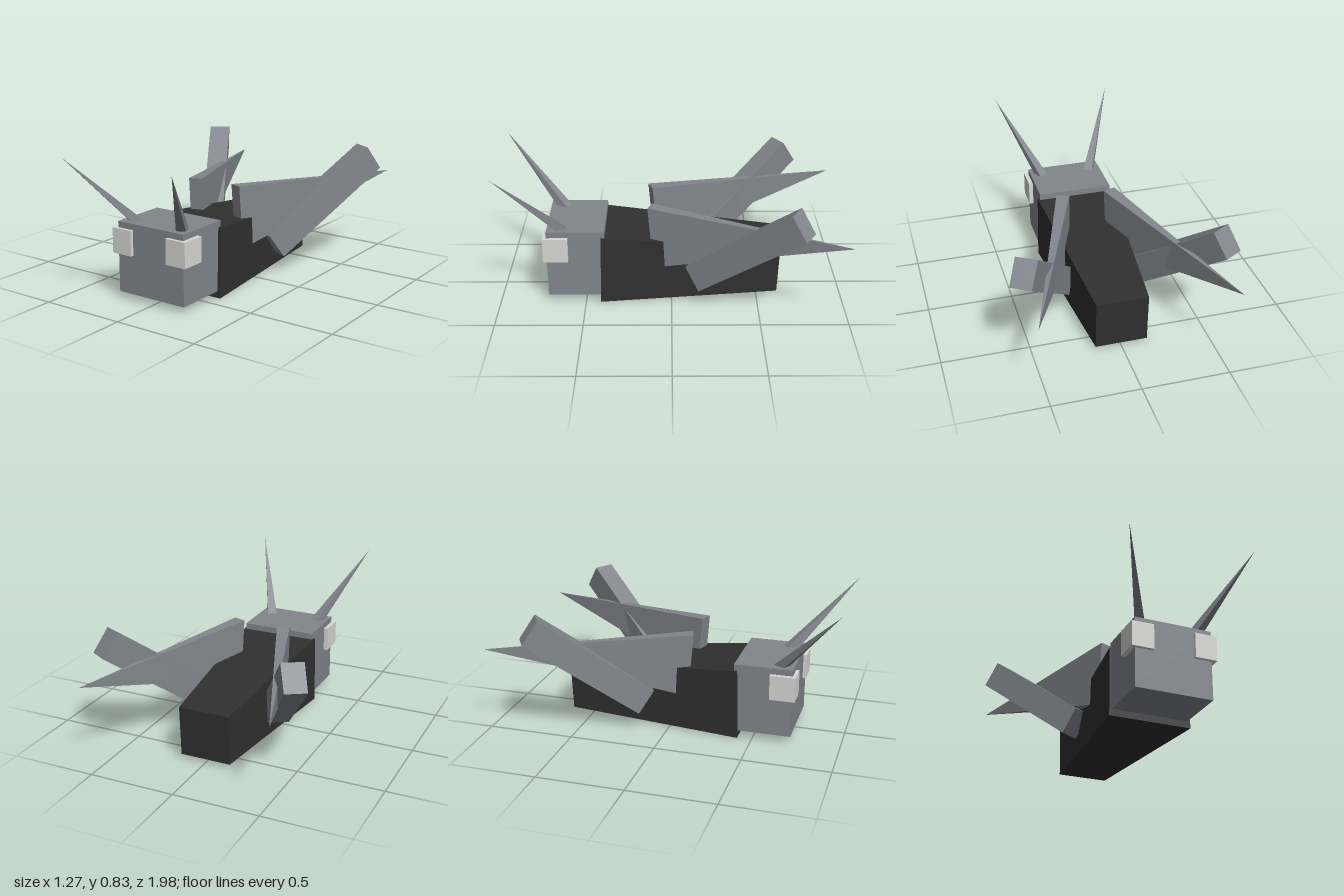
import * as THREE from 'three';
import { ConvexGeometry } from 'three/addons/geometries/ConvexGeometry.js';

const material = (name, color) => new THREE.MeshStandardMaterial({ name, color });

// Solid block, wedge or spike spanned by its corner points
function solid(name, corners, mat, side = 1) {
  const points = corners.map(([x, y, z]) => new THREE.Vector3(x * side, y, z));
  const mesh = new THREE.Mesh(new ConvexGeometry(points), mat);
  mesh.name = name;
  return mesh;
}

function box(name, size, position, mat) {
  const mesh = new THREE.Mesh(new THREE.BoxGeometry(...size), mat);
  mesh.position.set(...position);
  mesh.name = name;
  return mesh;
}

export function createModel() {
  const grey = material('shell grey', 0x82868c);
  const dark = material('body charcoal', 0x303030);
  const pale = material('eye pale grey', 0xd8d8d6);
  const model = new THREE.Group();
  model.name = 'insect';

  // Body tapering towards the tail
  const bodyCorners = [-1, 1].flatMap((s) => [
    [s * 0.24, 0, 0.415], [s * 0.235, 0.41, 0.405],
    [s * 0.15, 0.022, -0.622], [s * 0.15, 0.317, -0.635],
  ]);
  model.add(solid('body', bodyCorners, dark));

  // Head
  model.add(box('head', [0.446, 0.405, 0.335], [0, 0.2425, 0.5525], grey));

  // Hind leg: a slanted square bar, its lower end swept along one direction
  const legEnd = [
    [0.25, 0.237, -0.078], [0.143, 0.237, -0.141],
    [0.302, 0.104, -0.154], [0.197, 0.104, -0.217],
  ];
  const legSweep = [0.333, 0.48, -0.557];
  const legCorners = legEnd.flatMap((p) => [p, p.map((v, i) => v + legSweep[i])]);

  // Wing: a tall narrow front face drawn back to a point
  const wingCorners = [
    [0.106, 0.575, 0.112], [0.178, 0.575, 0.138],
    [0.113, 0.2, 0.08], [0.185, 0.2, 0.106],
    [0.547, 0.503, -0.99],
  ];

  // Antenna: a four-sided spike rising from the head
  const antennaCorners = [
    [0.115, 0.44, 0.622], [0.165, 0.44, 0.595],
    [0.15, 0.44, 0.687], [0.197, 0.44, 0.66],
    [0.367, 0.832, 0.99],
  ];

  for (const [label, side] of [['left', 1], ['right', -1]]) {
    model.add(
      box(`${label}Eye`, [0.128, 0.145, 0.145], [side * 0.184, 0.3375, 0.6675], pale),
      solid(`${label}Leg`, legCorners, grey, side),
      solid(`${label}Wing`, wingCorners, grey, side),
      solid(`${label}Antenna`, antennaCorners, grey, side),
    );
  }
  return model;
}
